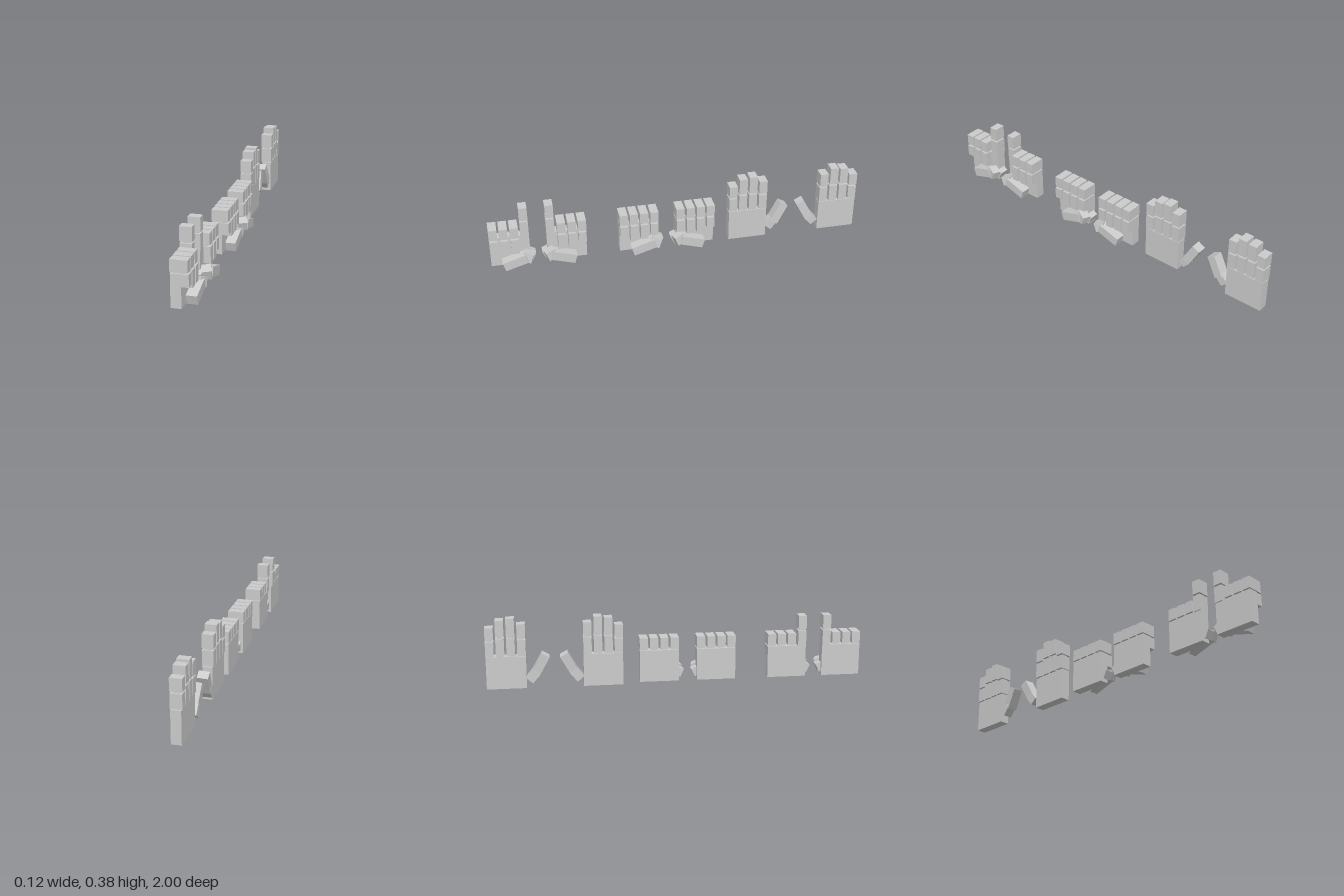
import * as THREE from 'three';

const material = new THREE.MeshStandardMaterial({ color: 0xcccccc, flatShading: true });

// pos along z from the palm centre, top of proximal and distal block, folded tip height
const FINGERS = [
  { name: 'littleFinger', z: -0.082, knuckle: 0.259, tip: 0.334, fold: 0.122 },
  { name: 'ringFinger', z: -0.028, knuckle: 0.275, tip: 0.373, fold: 0.098 },
  { name: 'middleFinger', z: 0.027, knuckle: 0.275, tip: 0.381, fold: 0.098 },
  { name: 'indexFinger', z: 0.082, knuckle: 0.267, tip: 0.35, fold: 0.115 },
];
const WIDTH = 0.044;

// One hand; side = +1 puts the thumb towards +z, -1 mirrors it
function makeHand(name, side, z, pose) {
  const hand = new THREE.Group();
  hand.name = name;
  hand.position.z = z;

  const block = (part, size, pos, rot = [0, 0, 0]) => {
    const mesh = new THREE.Mesh(new THREE.BoxGeometry(...size), material);
    mesh.name = part;
    mesh.position.set(pos[0], pos[1], pos[2] * side);
    mesh.rotation.set(rot[0] * side, rot[1] * side, rot[2]);
    hand.add(mesh);
  };
  // Upright block given by its x and y limits
  const span = (part, x0, x1, y0, y1, w, zc) =>
    block(part, [x1 - x0, y1 - y0, w], [(x0 + x1) / 2, (y0 + y1) / 2, zc]);

  const open = pose === 'open';
  span('palm', -0.05, 0.002, open ? 0.005 : 0.015, open ? 0.178 : 0.185, 0.208, 0);

  for (const f of FINGERS) {
    const straight = open || (pose === 'pointing' && f.name === 'indexFinger');
    if (straight) {
      span(f.name + 'Base', -0.056, 0.004, 0.182, f.knuckle, WIDTH, f.z);
      span(f.name + 'Tip', -0.057, 0.005, f.knuckle + 0.009, f.tip, WIDTH, f.z);
      span(f.name + 'Joint', -0.045, -0.007, f.knuckle - 0.01, f.knuckle + 0.02, 0.026, f.z);
      span(f.name + 'Knuckle', -0.045, -0.007, 0.17, 0.19, 0.026, f.z);
    } else {
      // Folded finger: first block lies over the palm, second hangs in front of it
      span(f.name + 'Base', -0.052, 0.034, 0.191, 0.253, WIDTH, f.z);
      span(f.name + 'Tip', -0.02, 0.038, f.fold, 0.184, WIDTH - 0.003, f.z);
      span(f.name + 'Joint', -0.04, 0.02, 0.178, 0.196, 0.026, f.z);
    }
  }

  if (open) {
    // Thumb spread away from the palm
    block('thumbBase', [0.05, 0.062, 0.046], [-0.032, 0.07, 0.139], [0.7, 0, 0]);
    block('thumbTip', [0.056, 0.118, 0.046], [-0.03, 0.13, 0.178], [0.5, 0, 0.06]);
  } else {
    // Thumb folded across the front of the palm
    block('thumbBase', [0.05, 0.045, 0.04], [-0.012, 0.06, 0.105], [0.45, 0, 0]);
    block('thumbMiddle', [0.048, 0.05, 0.055], [0.03, 0.072, 0.09], [0.35, 0.3, 0]);
    block('thumbTip', [0.054, 0.05, 0.128], [0.031, 0.053, 0.022], [-0.3, 0, 0]);
  }
  return hand;
}

export function createModel() {
  const model = new THREE.Group();
  model.name = 'handPoses';
  // Three pairs of mirrored hands in a row
  const pairs = [
    ['pointing', 0.893, 0.595],
    ['fist', 0.211, -0.094],
    ['open', -0.39, -0.896],
  ];
  for (const [pose, a, b] of pairs) {
    model.add(makeHand(pose + 'HandA', -1, a, pose));
    model.add(makeHand(pose + 'HandB', 1, b, pose));
  }
  return model;
}
